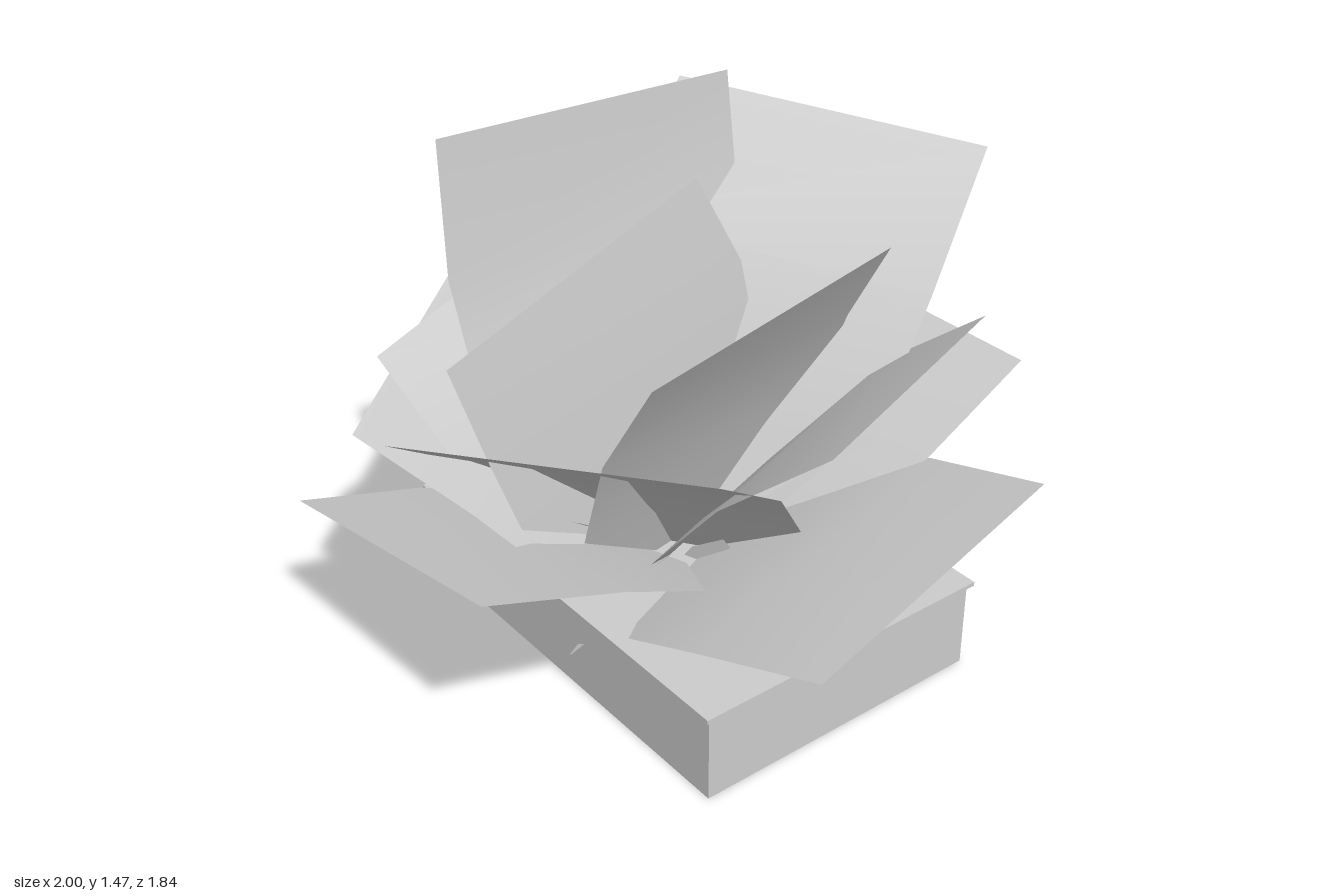
import * as THREE from 'three';

const grey = new THREE.MeshStandardMaterial({ color: 0xcccccc, side: THREE.DoubleSide });
grey.name = 'grey';

const ROOT = new THREE.Vector3(0, 0.2, 0);

function mesh(name, geometry) {
  const m = new THREE.Mesh(geometry, grey);
  m.name = name;
  return m;
}

function box(name, w, h, d, x, y, z) {
  const m = mesh(name, new THREE.BoxGeometry(w, h, d));
  m.position.set(x, y, z);
  return m;
}

// Strip of quads between paired left and right points
function strip(name, rows) {
  const positions = [], index = [];
  rows.forEach(([l, r], i) => {
    positions.push(...l.toArray(), ...r.toArray());
    if (i) {
      const a = 2 * (i - 1);
      index.push(a, a + 1, a + 3, a, a + 3, a + 2);
    }
  });
  const g = new THREE.BufferGeometry();
  g.setAttribute('position', new THREE.Float32BufferAttribute(positions, 3));
  g.setIndex(index);
  g.computeVertexNormals();
  return mesh(name, g);
}

// Leaf sections: share of reach, share of height, share of width
const ARCHING = [[0, 0, 0.02], [0.28, 0.37, 1], [0.58, 0.7, 1.06], [1, 1, 1]];
const UPRIGHT = [[0, 0, 0.02], [0.65, 0.44, 1], [0.9, 0.7, 1.03], [1, 1, 1]];

// Leaf from the root to a straight tip edge
function leaf(left, right, sections = ARCHING) {
  const a = new THREE.Vector3(...left), b = new THREE.Vector3(...right);
  const reach = a.clone().add(b).multiplyScalar(0.5).sub(ROOT);
  const half = b.clone().sub(a).multiplyScalar(0.5);
  const rows = sections.map(([out, up, width]) => {
    const c = new THREE.Vector3(reach.x * out, reach.y * up, reach.z * out).add(ROOT);
    return [c.clone().addScaledVector(half, -width), c.clone().addScaledVector(half, width)];
  });
  return strip('leaf', rows);
}

// Narrow pointed blade from the root, at a heading and pitch
function blade(heading, pitch, length) {
  const dir = new THREE.Vector3(
    Math.sin(heading) * Math.cos(pitch), Math.sin(pitch), Math.cos(heading) * Math.cos(pitch));
  const side = new THREE.Vector3(Math.cos(heading), 0.6, -Math.sin(heading)).normalize();
  const rows = [[0, 0.004], [0.65, 0.045], [1, 0.004]].map(([s, w]) => {
    const c = ROOT.clone().addScaledVector(dir, s * length);
    return [c.clone().addScaledVector(side, -w), c.clone().addScaledVector(side, w)];
  });
  return strip('blade', rows);
}

export function createModel() {
  const model = new THREE.Group();
  model.name = 'planter';

  // Planter: four thin walls, open below
  const planter = new THREE.Group();
  planter.name = 'planterBox';
  for (const [z, name] of [[0.427, 'frontWall'], [-0.467, 'backWall']]) {
    planter.add(box(name, 1.31, 0.26, 0.006, 0.025, 0.13, z));
  }
  for (const [x, name] of [[0.677, 'leftWall'], [-0.627, 'rightWall']]) {
    planter.add(box(name, 0.006, 0.26, 0.888, x, 0.13, -0.02));
  }
  // Lid of soil with a slight overhang
  planter.add(box('soilAndRim', 1.335, 0.012, 0.93, 0.025, 0.264, -0.02));
  model.add(planter);

  // Large leaves, each given by the two corners of its tip
  const foliage = new THREE.Group();
  foliage.name = 'foliage';
  const tips = [
    [[-0.44, 0.73, -0.85], [0.45, 0.72, -0.87]],
    [[-0.47, 0.5, 0.915], [0.41, 0.66, 0.895]],
    [[-1, 0.55, 0], [-0.64, 0.55, -0.81]],
    [[0.87, 0.67, -0.51], [1, 0.54, 0.36]],
    [[-0.35, 1.47, 0.49], [-0.3, 1.46, -0.41], UPRIGHT],
    [[-0.51, 1.38, -0.41], [0.21, 1.27, -0.92]],
    [[-0.74, 0.9, -0.31], [-0.01, 0.92, -0.84]],
    [[0.48, 0.94, -0.67], [0.79, 0.965, 0.16]],
    [[0.33, 1.15, -0.45], [0.47, 1.1, 0.44]],
    [[0.69, 0.935, 0.41], [-0.07, 0.85, 0.86]],
    [[-0.82, 0.875, 0.155], [-0.25, 0.79, 0.85]],
    [[-0.56, 1.1, -0.16], [-0.365, 0.915, 0.7]],
    [[-0.12, 1.27, -0.16], [-0.03, 1.02, 0.69]],
  ];
  for (const [l, r, sections] of tips) foliage.add(leaf(l, r, sections));

  // Ring of short blades with alternating pitch
  const pitches = [-0.1, 0.45, 0.25, 0.6];
  for (let i = 0; i < 20; i++) {
    foliage.add(blade(0.3 + (i / 20) * Math.PI * 2, pitches[i % 4], 0.5));
  }
  model.add(foliage);

  return model;
}
